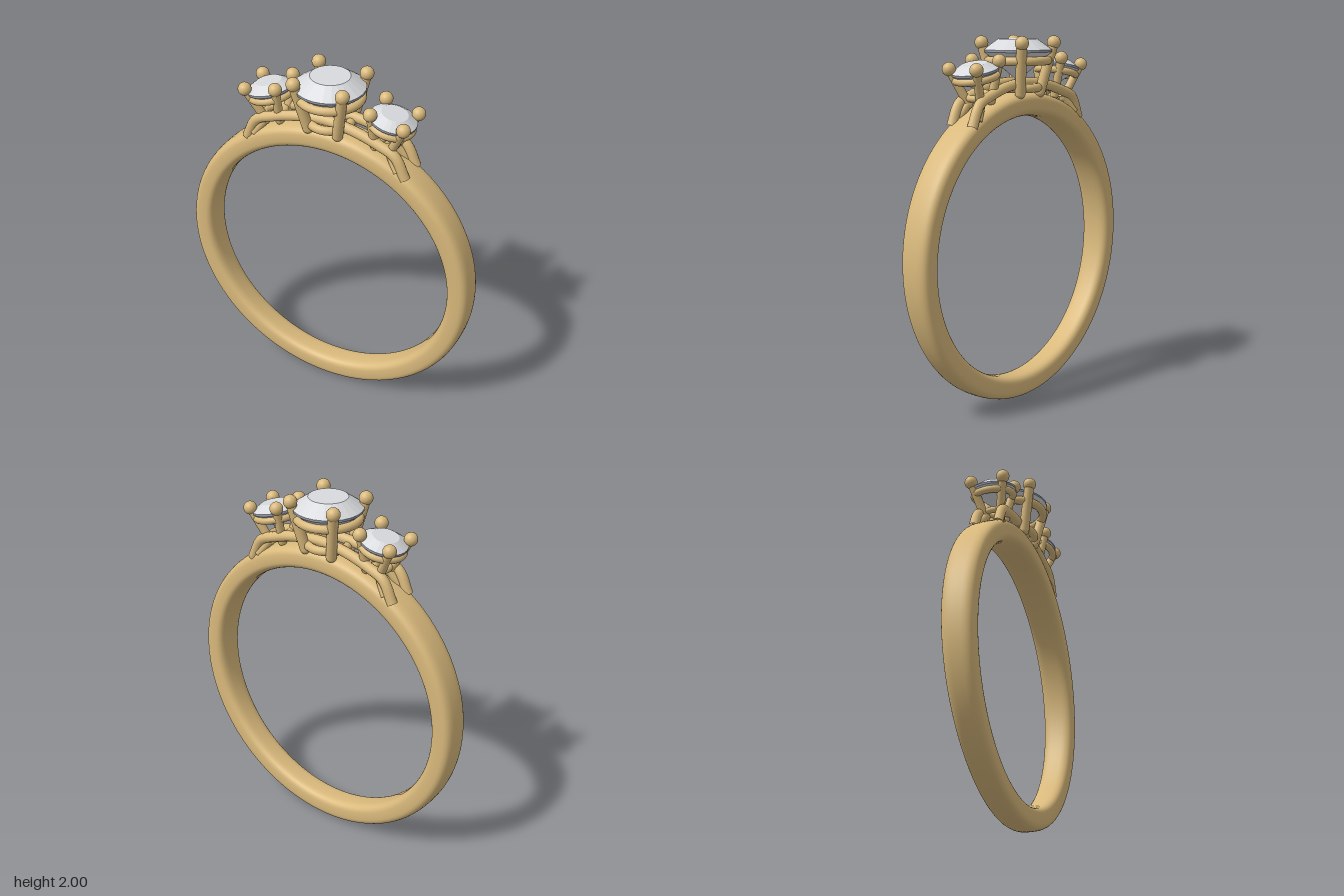
import * as THREE from 'three';

const gold = new THREE.MeshStandardMaterial({ color: 0xd9b97c });
gold.name = 'gold';
const crystal = new THREE.MeshStandardMaterial({ color: 0xd9dadd });
crystal.name = 'crystal';
const girdleGrey = new THREE.MeshStandardMaterial({ color: 0x9299a6 });
girdleGrey.name = 'girdleGrey';

const V = (x, y, z) => new THREE.Vector3(x, y, z);
const CENTRE_Y = 0.85;

function add(parent, name, geometry, material = gold) {
  const mesh = new THREE.Mesh(geometry, material);
  mesh.name = name;
  parent.add(mesh);
  return mesh;
}

// Band: rounded-box section swept round a circle, wider towards the top
function bandGeometry() {
  const N = 128, M = 32, pos = [], idx = [];
  const soft = (v) => Math.sign(v) * Math.pow(Math.abs(v), 0.62);
  for (let i = 0; i < N; i++) {
    const a = (i / N) * Math.PI * 2;
    const w = 0.0875 + 0.0135 * Math.sin(a);
    for (let j = 0; j < M; j++) {
      const b = (j / M) * Math.PI * 2;
      const r = 0.786 + 0.064 * soft(Math.cos(b));
      pos.push(r * Math.cos(a), CENTRE_Y + r * Math.sin(a), w * soft(Math.sin(b)));
      const i2 = (i + 1) % N, j2 = (j + 1) % M;
      const p = i * M + j, q = i2 * M + j, s = i2 * M + j2, t = i * M + j2;
      idx.push(p, q, s, p, s, t);
    }
  }
  const g = new THREE.BufferGeometry();
  g.setAttribute('position', new THREE.Float32BufferAttribute(pos, 3));
  g.setIndex(idx);
  g.computeVertexNormals();
  return g;
}

// Faceted lathe for cut stones
function facets(profile, sides = 24) {
  const g = new THREE.LatheGeometry(profile.map(([r, y]) => new THREE.Vector2(r, y)), sides).toNonIndexed();
  g.computeVertexNormals();
  return g;
}

function rod(parent, name, a, b, r0, r1) {
  const dir = b.clone().sub(a);
  const mesh = add(parent, name, new THREE.CylinderGeometry(r1, r0, dir.length(), 20));
  mesh.position.copy(a).add(b).multiplyScalar(0.5);
  mesh.quaternion.setFromUnitVectors(V(0, 1, 0), dir.normalize());
}

function hoop(parent, name, radius, tube, y) {
  const mesh = add(parent, name, new THREE.TorusGeometry(radius, tube, 14, 48));
  mesh.rotation.x = Math.PI / 2;
  mesh.position.y = y;
}

// Four-prong head with its stone, standing on local y = 0
function makeHead(name, o) {
  const head = new THREE.Group();
  head.name = name;
  for (const sx of [-1, 1]) for (const sz of [-1, 1]) {
    const foot = V(sx * o.foot, 0, sz * o.foot);
    const tip = V(sx * o.tip, o.height, sz * o.tip);
    rod(head, 'prong', foot, tip, o.prong, o.prong * 0.95);
    add(head, 'prongTip', new THREE.SphereGeometry(o.ball, 24, 16)).position.copy(tip);
    add(head, 'prongFoot', new THREE.SphereGeometry(o.prong, 16, 12)).position.copy(foot);
  }
  hoop(head, 'upperHoop', o.upper[0], o.upper[1], o.upper[2]);
  hoop(head, 'lowerHoop', o.lower[0], o.lower[1], o.lower[2]);
  const { r, table, culet, girdle, top } = o.gem;
  const lo = girdle - 0.006, hi = girdle + 0.006;
  add(head, 'stonePavilion', facets([[0, culet], [r, lo]]), crystal);
  add(head, 'stoneGirdle', facets([[r, lo], [r, hi]]), girdleGrey);
  add(head, 'stoneCrown', facets([[r, hi], [table, top], [0, top]]), crystal);
  return head;
}

export function createModel() {
  const ring = new THREE.Group();
  ring.name = 'ring';
  add(ring, 'band', bandGeometry());

  // Twin bridge rails under the heads, ends sinking into the shoulders
  for (const sz of [-1, 1]) {
    const pts = [V(-0.46, 1.54, sz * 0.07)];
    for (let k = -4; k <= 4; k++) {
      const a = k * 0.115;
      const z = sz * (0.052 + 0.018 * Math.abs(k) / 4);
      pts.push(V(0.9 * Math.sin(a), CENTRE_Y + 0.9 * Math.cos(a), z));
    }
    pts.push(V(0.46, 1.54, sz * 0.07));
    add(ring, 'bridgeRail', new THREE.TubeGeometry(new THREE.CatmullRomCurve3(pts), 64, 0.028, 14));
  }

  // Large centre stone
  const centre = makeHead('centreHead', {
    foot: 0.085, tip: 0.138, height: 0.265, prong: 0.029, ball: 0.037,
    upper: [0.162, 0.024, 0.17], lower: [0.108, 0.024, 0.025],
    gem: { r: 0.186, table: 0.105, culet: 0.06, girdle: 0.222, top: 0.285 },
  });
  centre.position.y = 1.698;
  ring.add(centre);

  // Smaller stones leaning outwards on each shoulder
  for (const s of [-1, 1]) {
    const side = makeHead(s > 0 ? 'leftHead' : 'rightHead', {
      foot: 0.042, tip: 0.093, height: 0.2, prong: 0.024, ball: 0.036,
      upper: [0.108, 0.02, 0.135], lower: [0.055, 0.018, 0.035],
      gem: { r: 0.125, table: 0.07, culet: 0.06, girdle: 0.168, top: 0.208 },
    });
    side.position.set(s * 0.316, 1.66, 0);
    side.rotation.z = -s * 0.22;
    ring.add(side);
    // Splayed struts joining each head to the band
    for (const sz of [-1, 1]) {
      rod(ring, 'shoulderStrut', V(s * 0.35, 1.67, sz * 0.04), V(s * 0.42, 1.57, sz * 0.07), 0.024, 0.026);
    }
  }
  return ring;
}
